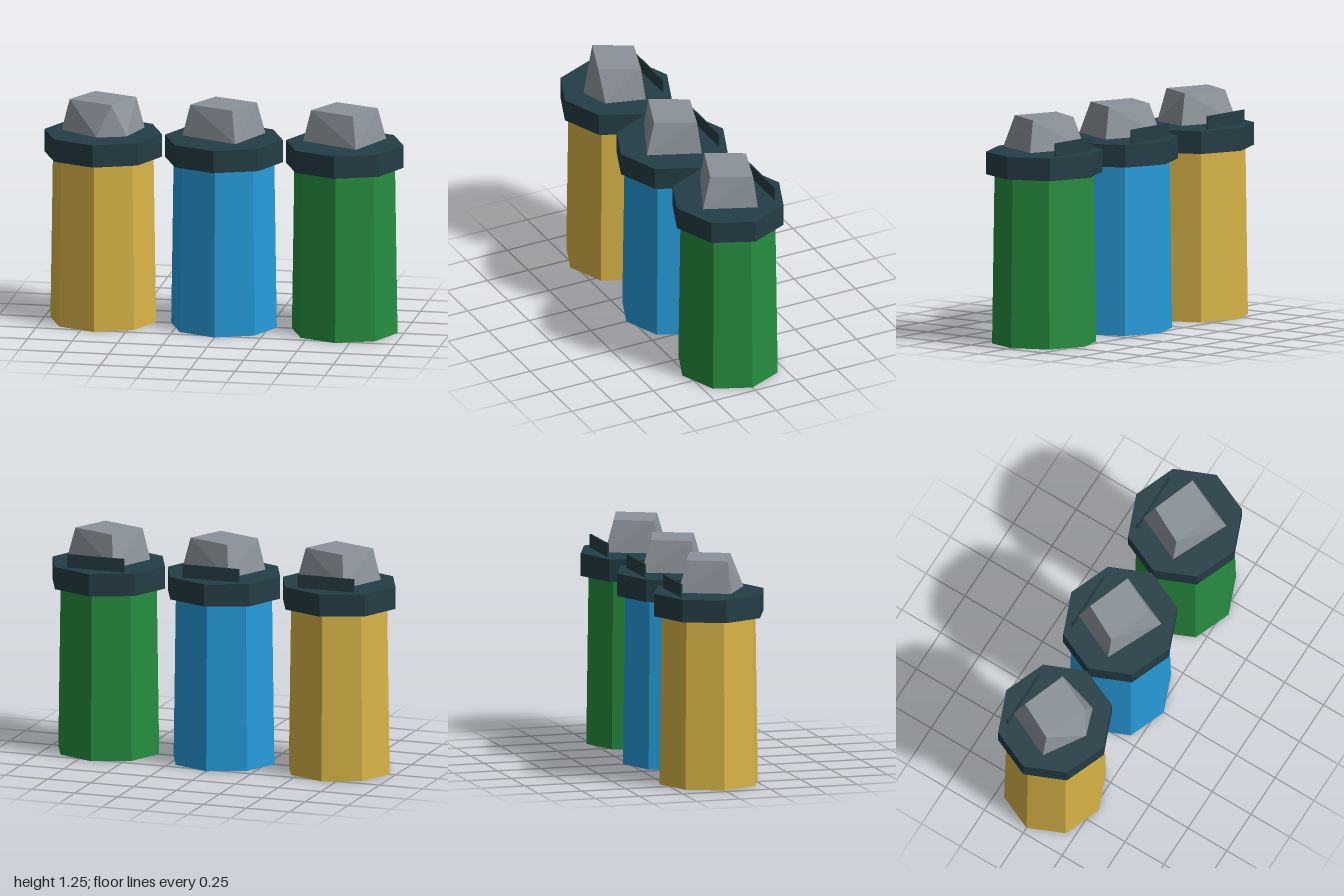
import * as THREE from 'three';
import { ConvexGeometry } from 'three/addons/geometries/ConvexGeometry.js';

const DEPTH = 0.957; // bins are slightly narrower front to back

function material(name, color) {
  const m = new THREE.MeshStandardMaterial({ color, flatShading: true });
  m.name = name;
  return m;
}

function addMesh(parent, name, geometry, mat, y = 0, z = 0) {
  const mesh = new THREE.Mesh(geometry, mat);
  mesh.name = name;
  mesh.position.set(0, y, z);
  parent.add(mesh);
  return mesh;
}

// Eight-sided drum with a corner on each axis
function octagon(top, bottom, height) {
  return new THREE.CylinderGeometry(top, bottom, height, 8).scale(1, 1, DEPTH);
}

// Faceted lump: a turned square that narrows upward; one has a cut front corner
function lump(cutCorner) {
  const top = [[-0.177, 0.055], [0.073, 0.147], [0.173, -0.058], [-0.073, -0.147]];
  const frontCorner = cutCorner ? [[0, 0.2], [0.157, 0.145]] : [[0.1, 0.205]];
  const base = [[-0.22, 0.06], ...frontCorner, [0.217, -0.072], [-0.1, -0.205]];
  return new ConvexGeometry([
    ...base.map(([x, z]) => new THREE.Vector3(x, 1.076, z)),
    ...top.map(([x, z]) => new THREE.Vector3(x, 1.25, z)),
  ]);
}

export function createModel() {
  const group = new THREE.Group();
  group.name = 'threeBins';
  const rimMat = material('dark slate', 0x243d45);
  const lumpMat = material('grey', 0x8a9299);

  const bins = [
    { name: 'yellowBin', x: -0.672, mat: material('yellow', 0xd9b547), cut: true },
    { name: 'blueBin', x: 0, mat: material('blue', 0x269cdb), cut: false },
    { name: 'greenBin', x: 0.672, mat: material('green', 0x268e40), cut: false },
  ];

  for (const { name, x, mat, cut } of bins) {
    const bin = new THREE.Group();
    bin.name = name;
    bin.position.x = x;
    group.add(bin);

    addMesh(bin, 'body', octagon(0.28, 0.294, 0.95), mat, 0.475);
    addMesh(bin, 'rim', octagon(0.328, 0.328, 0.125), rimMat, 0.9975);
    // Thin upright flap at the back of the rim
    addMesh(bin, 'flap', new THREE.BoxGeometry(0.33, 0.085, 0.008), rimMat, 1.0925, -0.206);
    addMesh(bin, 'contents', lump(cut), lumpMat);
  }
  return group;
}
